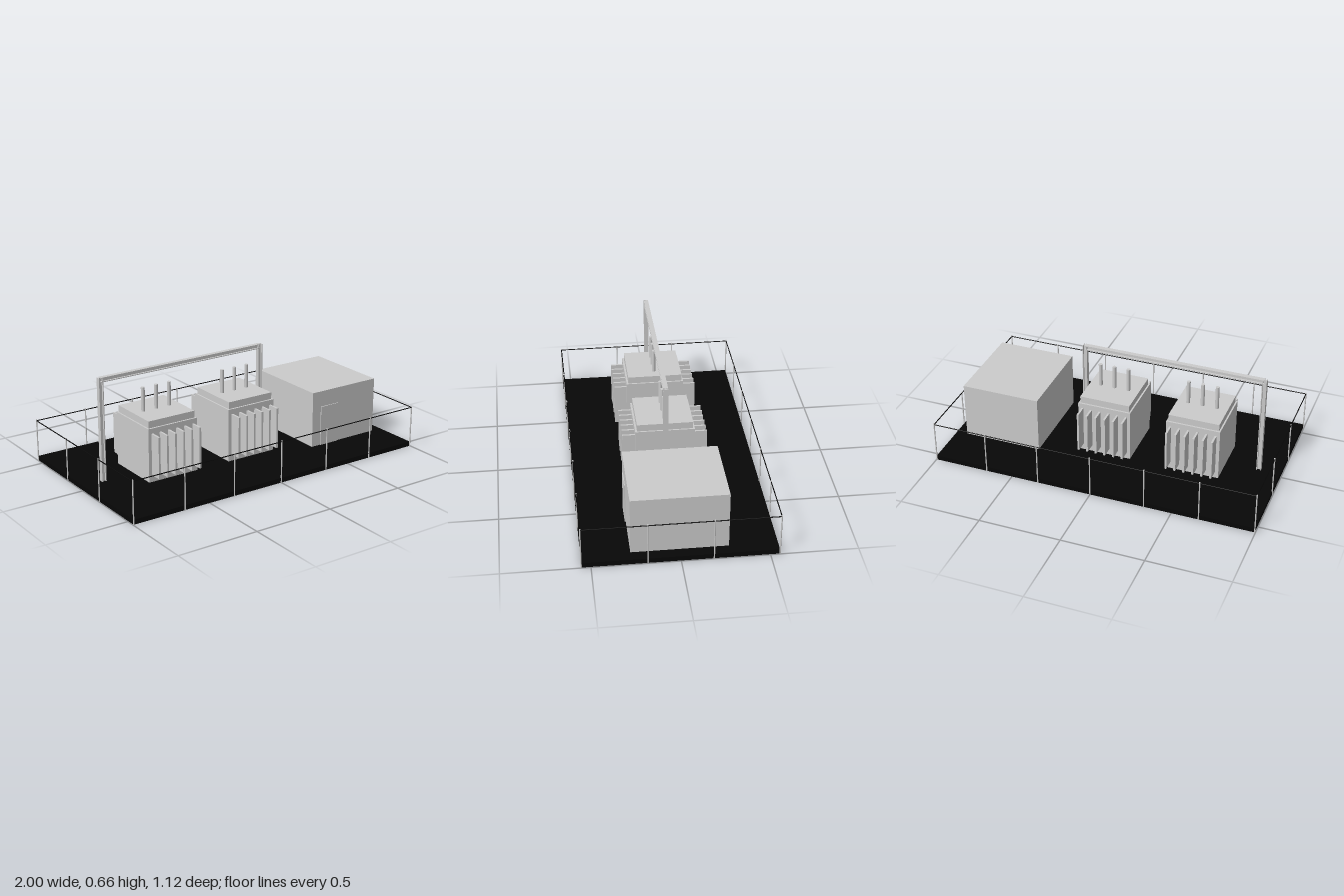
import * as THREE from 'three';

const grey = new THREE.MeshStandardMaterial({ color: 0xcccccc });
const black = new THREE.MeshStandardMaterial({ color: 0x070707 });

function add(parent, name, geometry, x, y, z, material = grey) {
  const mesh = new THREE.Mesh(geometry, material);
  mesh.name = name;
  mesh.position.set(x, y, z);
  parent.add(mesh);
  return mesh;
}
const box = (w, h, d) => new THREE.BoxGeometry(w, h, d);

function group(parent, name) {
  const g = new THREE.Group();
  g.name = name;
  parent.add(g);
  return g;
}

// I-section extruded along z, flanges facing +-y
function iBeam(length, size = 0.028, flange = 0.005, web = 0.005) {
  const s = size / 2, f = s - flange, w = web / 2;
  const right = [[s, -s], [s, -f], [w, -f], [w, f], [s, f], [s, s]];
  const left = right.map(([x, y]) => [-x, -y]);
  const shape = new THREE.Shape([...right, ...left].map(p => new THREE.Vector2(...p)));
  return new THREE.ExtrudeGeometry(shape, { depth: length, bevelEnabled: false });
}

// Transformer tank with lid, cooling fins on both faces and three bushings
function transformer(parent, x) {
  const g = group(parent, 'transformer');
  g.position.x = x;
  add(g, 'tank', box(0.33, 0.327, 0.354), 0, 0.1935, 0);
  add(g, 'lid', box(0.311, 0.042, 0.332), 0, 0.378, 0);
  for (const side of [-1, 1]) {
    for (let i = 0; i < 6; i++) {
      add(g, 'coolingFin', box(0.012, 0.254, 0.077), (i - 2.5) * 0.0555, 0.199, side * 0.2135);
    }
  }
  for (let i = -1; i <= 1; i++) {
    add(g, 'bushing', new THREE.CylinderGeometry(0.0115, 0.0115, 0.147, 16), i * 0.0885, 0.471, 0);
  }
}

export function createModel() {
  const model = new THREE.Group();
  model.name = 'substation';

  add(model, 'baseSlab', box(1.992, 0.029, 1.106), 0, 0.0145, 0, black);

  transformer(model, -0.498);
  transformer(model, 0.056);

  // Gantry: two posts and a beam over the bushings
  const gantry = group(model, 'gantry');
  const x0 = -0.864, x1 = 0.241;
  for (const x of [x0, x1]) {
    const post = iBeam(0.627).rotateZ(Math.PI / 2).rotateX(-Math.PI / 2);
    add(gantry, 'gantryPost', post, x, 0.029, 0);
  }
  add(gantry, 'gantryBeam', iBeam(x1 - x0).rotateY(Math.PI / 2), x0, 0.644, 0);

  // Control building with a full-height door on the front
  const building = group(model, 'controlBuilding');
  add(building, 'buildingBody', box(0.484, 0.348, 0.553), 0.687, 0.203, 0);
  add(building, 'door', box(0.133, 0.277, 0.01), 0.574, 0.1395, 0.277);

  // Perimeter fence: posts and a top rail on each side
  const fence = group(model, 'fence');
  const fx = 0.996, fz = 0.554, r = 0.004;
  const postGeometry = new THREE.CylinderGeometry(r, r, 0.263, 8);
  const fencePost = (x, z) => add(fence, 'fencePost', postGeometry, x, 0.1315, z);
  const rail = length => new THREE.CylinderGeometry(0.003, 0.003, length, 8);
  for (const side of [-1, 1]) {
    for (let i = 0; i <= 6; i++) fencePost((i / 3 - 1) * fx, side * fz);
    for (const k of [-1, 1]) fencePost(side * fx, k * fz / 3);
    add(fence, 'longRail', rail(2 * fx).rotateZ(Math.PI / 2), 0, 0.255, side * fz, black);
    add(fence, 'shortRail', rail(2 * fz).rotateX(Math.PI / 2), side * fx, 0.255, 0, black);
  }

  return model;
}
